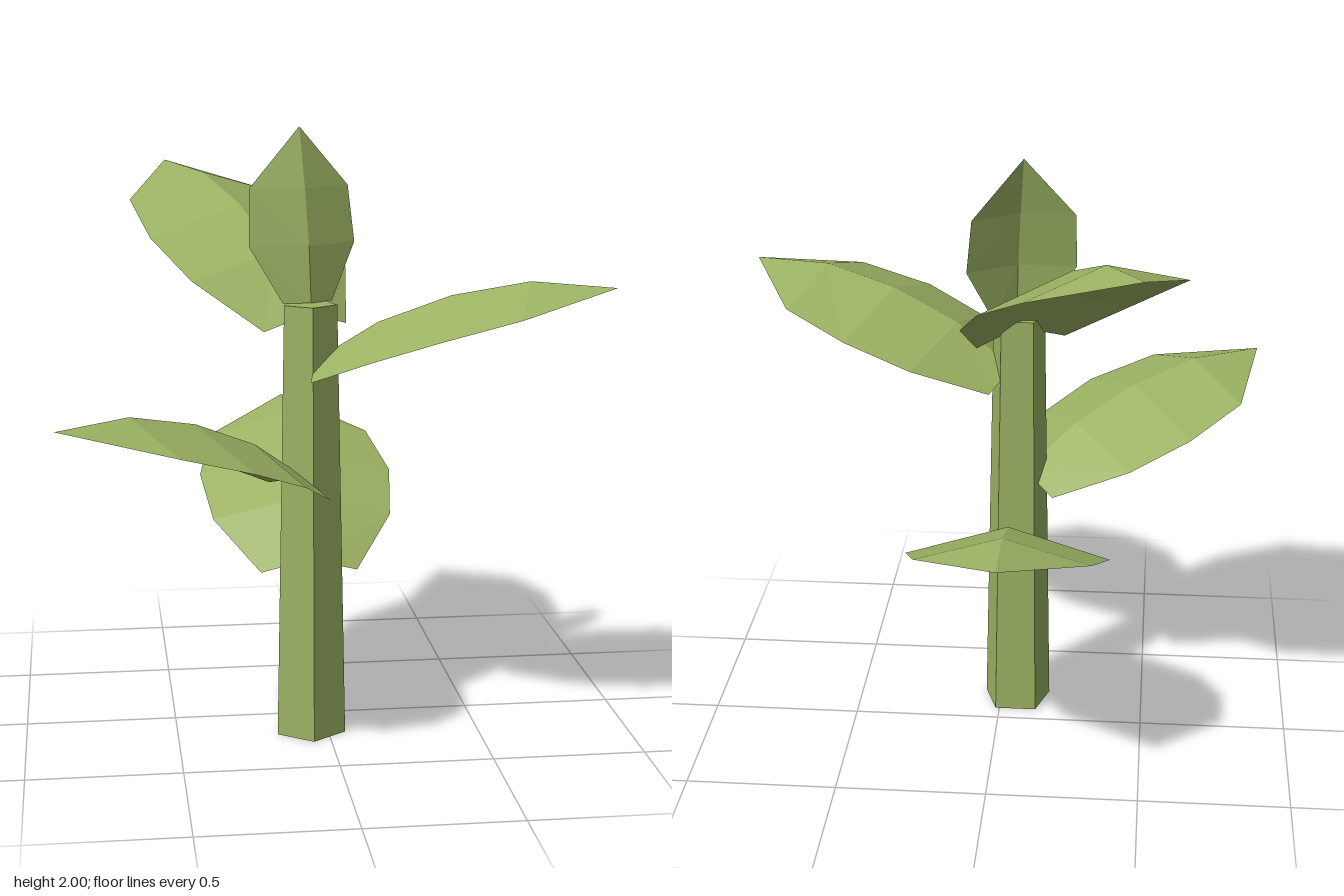
import * as THREE from 'three';

const green = new THREE.MeshStandardMaterial({ color: 0x9bb263, flatShading: true, side: THREE.DoubleSide });
green.name = 'leafGreen';

// Cross-sections from base to tip: [z, y, halfWidth, ridgeZ, ridgeY]
const BROAD = [
  [0, 0, 0.16, -0.02, 0.045],
  [0.212, 0.13, 0.302, -0.033, 0.08],
  [0.43, 0.235, 0.332, -0.022, 0.095],
  [0.662, 0.325, 0.28, -0.01, 0.08],
  [0.915, 0.415, 0, 0, 0],
];
const UPRIGHT = [
  [0, 0, 0.086, 0.03, 0],
  [-0.044, 0.182, 0.184, 0.058, 0],
  [-0.071, 0.364, 0.172, 0.052, 0],
  [-0.066, 0.557, 0, 0, 0],
];

// Folded blade with a raised midrib, growing along local +z
function makeLeaf(name, rows, position, yaw, reach = 1, rise = 1) {
  const points = [];
  const index = [];
  rows.forEach(([z, y, w, rz, ry], i) => {
    points.push(-w, y * rise, z * reach);
    points.push(0, y * rise + ry, z * reach + rz);
    points.push(w, y * rise, z * reach);
    if (i === 0) return;
    for (let c = 0; c < 2; c++) {
      const a = (i - 1) * 3 + c;
      const b = a + 3;
      const last = i === rows.length - 1;
      // The outer strips close to a single triangle at the tip
      index.push(a, b, a + 1);
      if (!last) index.push(a + 1, b, b + 1);
    }
  });
  const geometry = new THREE.BufferGeometry();
  geometry.setAttribute('position', new THREE.Float32BufferAttribute(points, 3));
  geometry.setIndex(index);
  geometry.computeVertexNormals();
  const leaf = new THREE.Mesh(geometry, green);
  leaf.name = name;
  leaf.position.set(...position);
  leaf.rotation.y = yaw;
  return leaf;
}

export function createModel() {
  const plant = new THREE.Group();
  plant.name = 'plant';

  // Tapered five-sided stem
  const stem = new THREE.Mesh(new THREE.CylinderGeometry(0.09, 0.119, 1.442, 5), green);
  stem.name = 'stem';
  stem.position.set(-0.057, 0.721, 0.161);
  plant.add(stem);

  // Leaves spiralling up the stem
  plant.add(
    makeLeaf('backLeaf', BROAD, [-0.056, 0.542, 0.13], Math.PI),
    makeLeaf('rightLeaf', BROAD, [-0.094, 0.83, 0.187], -1.0, 1.015, 0.79),
    makeLeaf('leftLeaf', BROAD, [-0.02, 1.213, 0.165], 1.24, 1.03, 0.745),
    makeLeaf('upperBackLeaf', BROAD, [-0.067, 1.36, 0.128], -2.66, 0.97, 1.15),
    makeLeaf('topLeaf', UPRIGHT, [-0.06, 1.443, 0.125], 0.285),
  );
  return plant;
}
